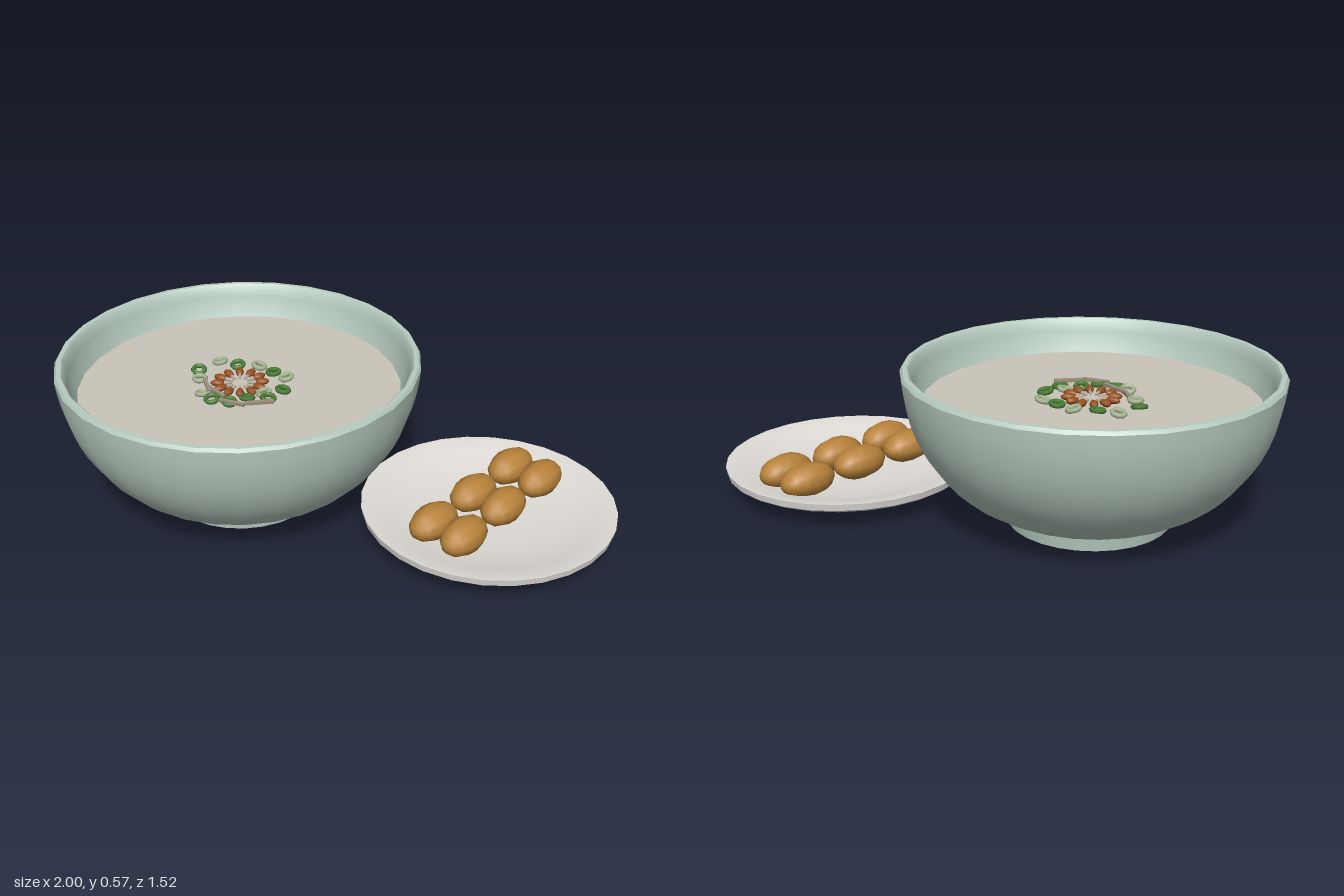
import * as THREE from 'three';
import { toCreasedNormals } from 'three/addons/utils/BufferGeometryUtils.js';

const SIDES = 28;
const mat = (color) => new THREE.MeshStandardMaterial({ color });

export function createModel() {
  const model = new THREE.Group();
  const glaze = mat(0xb8ccc0), china = mat(0xdedbd6), broth = mat(0xcbc5ba);
  const dough = mat(0xb8823a), green = mat(0x4a7d35), paleGreen = mat(0xa9b894);
  const brown = mat(0x96501f), pale = mat(0xbfb3a0), stick = mat(0x9c8f7c);

  function add(parent, name, geometry, material, x = 0, y = 0, z = 0) {
    const mesh = new THREE.Mesh(geometry, material);
    mesh.name = name;
    mesh.position.set(x, y, z);
    parent.add(mesh);
    return mesh;
  }
  function group(name, x, y, z) {
    const g = new THREE.Group();
    g.name = name;
    g.position.set(x, y, z);
    model.add(g);
    return g;
  }
  // Turned shape, flats facing the axes, with sharp corners kept
  function turned(points) {
    const g = new THREE.LatheGeometry(points.map(([r, y]) => new THREE.Vector2(r, y)), SIDES);
    g.rotateY(Math.PI / SIDES);
    return toCreasedNormals(g, 0.55);
  }

  // Bowl: outer wall, rounded lip, then inner wall down under the soup
  const bowl = group('bowl', -0.335, 0, 0.095);
  add(bowl, 'bowlShell', turned([
    [0.28, 0.066], [0.337, 0.07], [0.39, 0.087], [0.433, 0.112], [0.476, 0.141], [0.513, 0.176],
    [0.549, 0.217], [0.58, 0.262], [0.606, 0.308], [0.628, 0.358], [0.645, 0.41], [0.657, 0.465],
    [0.664, 0.51], [0.668, 0.555], [0.66, 0.567], [0.643, 0.567], [0.633, 0.555],
    [0.626, 0.52], [0.614, 0.48], [0.597, 0.437], [0.575, 0.39],
  ]), glaze);
  add(bowl, 'bowlFoot', turned([[0, 0], [0.298, 0], [0.307, 0.068]]), glaze);
  const soup = add(bowl, 'soup', new THREE.CircleGeometry(0.598, SIDES), broth, 0, 0.44, 0);
  soup.rotation.x = -Math.PI / 2;
  soup.rotation.z = Math.PI / SIDES;

  // Garnish floating in the middle of the soup
  const garnish = new THREE.Group();
  garnish.name = 'garnish';
  garnish.position.set(0, 0.447, 0);
  bowl.add(garnish);

  // Onion rings: x, z, pale or dark
  const ringShape = new THREE.TorusGeometry(0.022, 0.009, 6, 12).rotateX(Math.PI / 2);
  [
    [-0.175, -0.07, 1], [-0.105, -0.095, 0], [-0.037, -0.142, 1], [0.038, -0.14, 0], [0.102, -0.142, 1],
    [0.16, -0.063, 0], [0.162, 0.018, 0], [0.122, 0.0, 1], [0.102, 0.066, 0], [0.075, 0.13, 0],
    [0.012, 0.157, 0], [-0.042, 0.15, 1], [-0.133, 0.077, 1], [-0.186, 0.03, 0],
  ].forEach(([x, z, light], i) => {
    const ring = add(garnish, 'onionRing', ringShape, light ? paleGreen : green, x, 0.006, z);
    ring.rotation.set(0.2 * Math.sin(i * 2.1), 0, 0.2 * Math.cos(i * 1.7));
  });

  // Circle of seeds, each with a pale tip pointing to the middle
  const seedShape = new THREE.SphereGeometry(1, 8, 6).scale(0.027, 0.013, 0.016);
  const tipShape = new THREE.CylinderGeometry(0.004, 0.007, 0.035, 6).rotateZ(Math.PI / 2);
  for (let i = 0; i < 12; i++) {
    const seed = new THREE.Group();
    seed.name = 'seed';
    seed.rotation.y = (i + 0.5) * Math.PI / 6;
    garnish.add(seed);
    add(seed, 'seedBody', seedShape, brown, 0.082, 0.006, 0);
    add(seed, 'seedTip', tipShape, pale, 0.047, 0.004, 0);
  }

  // Thin slivers: x, z, heading
  const sliverShape = new THREE.BoxGeometry(0.1, 0.012, 0.014);
  [[-0.065, 0.105, -0.6], [0.095, 0.137, 0.35], [0.17, 0.07, 0.87], [-0.005, 0.118, -0.15]]
    .forEach(([x, z, turn]) => {
      add(garnish, 'sliver', sliverShape, stick, x, 0.012, z).rotation.y = turn;
    });

  // Side plate: foot, flared underside, rim and shallow well
  const plate = group('plate', 0.535, 0, -0.295);
  add(plate, 'plateBody', turned([
    [0, 0], [0.285, 0], [0.303, 0.032], [0.44, 0.066], [0.462, 0.08], [0.466, 0.105],
    [0.455, 0.105], [0.38, 0.083], [0.27, 0.056], [0.15, 0.05], [0, 0.049],
  ]), china);

  // Three pairs of fried dough pieces
  const bunShape = new THREE.SphereGeometry(1, 10, 8).rotateX(Math.PI / 2).scale(0.071, 0.063, 0.11);
  for (const z of [-0.26, -0.015, 0.23]) {
    for (const side of [-1, 1]) {
      const bun = add(plate, 'doughPiece', bunShape, dough, side * 0.066 - 0.01, 0.107, z);
      bun.rotation.y = side * 0.04;
    }
  }
  return model;
}
